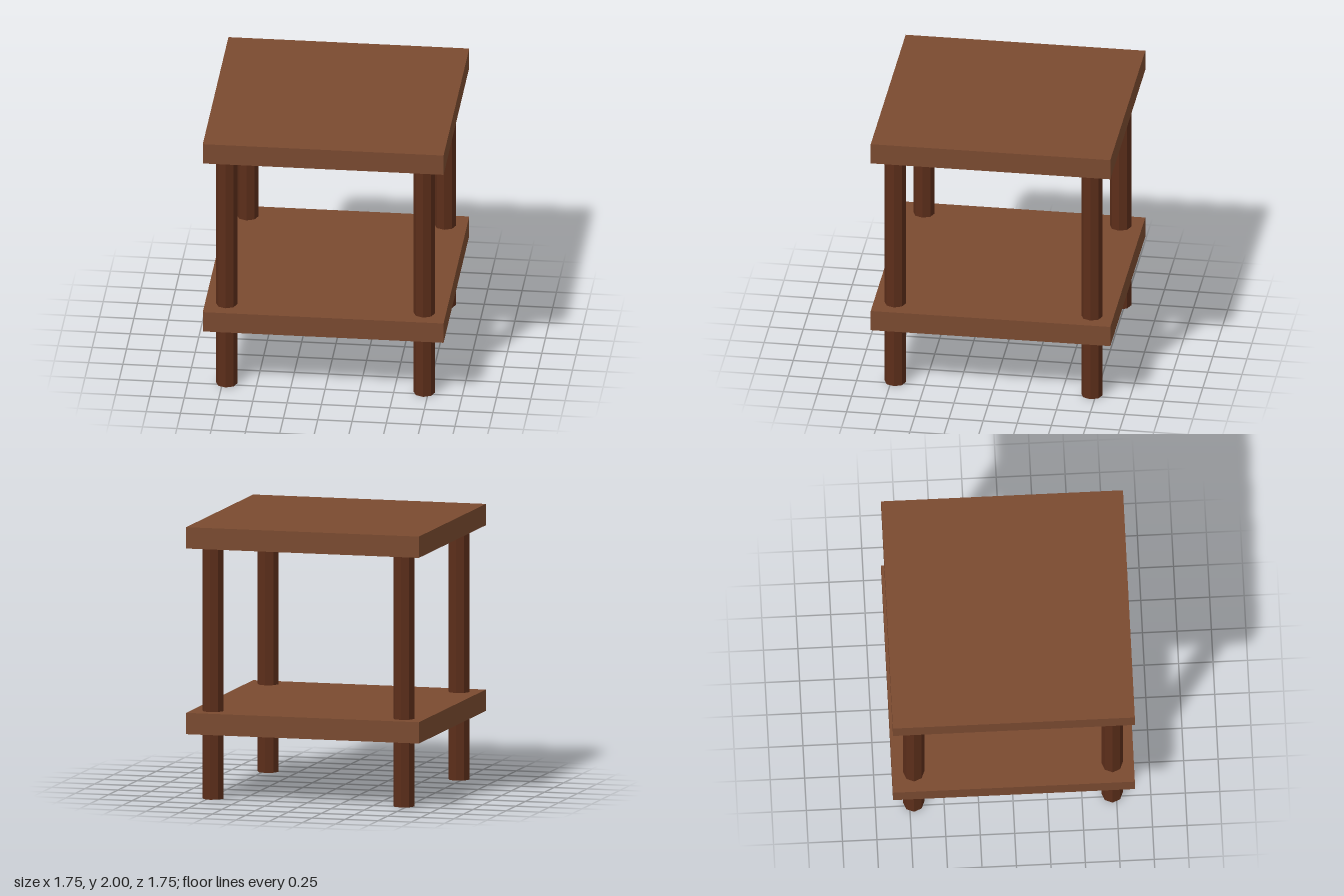
import * as THREE from 'three';

const BOARD = { width: 1.755, thickness: 0.156 };
const LEG = { radius: 0.078, offset: 0.72, height: 1.85 };

export function createModel() {
  const model = new THREE.Group();
  model.name = 'sideTable';

  const boardWood = new THREE.MeshStandardMaterial({ color: 0x7a4a30 });
  const legWood = new THREE.MeshStandardMaterial({ color: 0x5c2e1a, flatShading: true });

  // Square table top and lower shelf
  const boardGeometry = new THREE.BoxGeometry(BOARD.width, BOARD.thickness, BOARD.width);
  const addBoard = (name, topY) => {
    const board = new THREE.Mesh(boardGeometry, boardWood);
    board.name = name;
    board.position.y = topY - BOARD.thickness / 2;
    model.add(board);
  };
  addBoard('tableTop', 2);
  addBoard('lowerShelf', 0.641);

  // Four octagonal legs running through the shelf up to the top
  const legGeometry = new THREE.CylinderGeometry(LEG.radius, LEG.radius, LEG.height, 8);
  for (const [side, x] of [['Left', 1], ['Right', -1]]) {
    for (const [end, z] of [['front', 1], ['back', -1]]) {
      const leg = new THREE.Mesh(legGeometry, legWood);
      leg.name = `${end}${side}Leg`;
      leg.position.set(x * LEG.offset, LEG.height / 2, z * LEG.offset);
      model.add(leg);
    }
  }

  return model;
}
